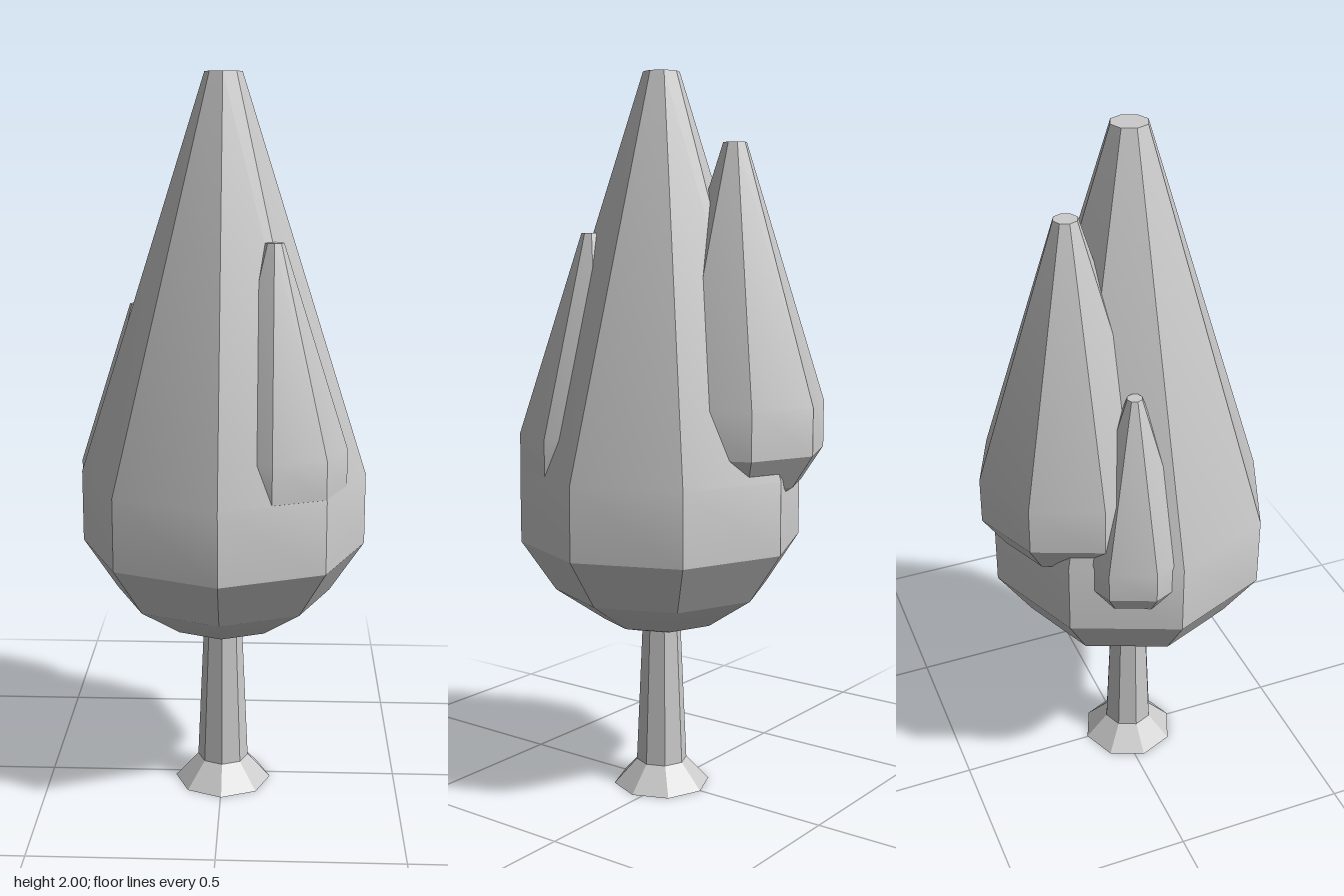
import * as THREE from 'three';
import { toCreasedNormals } from 'three/addons/utils/BufferGeometryUtils.js';

const SIDES = 8;

// Eight-sided turned solid from [radius, height] pairs, listed bottom to top
function turned(profile) {
  const points = profile.map(([r, y]) => new THREE.Vector2(r, y));
  return toCreasedNormals(new THREE.LatheGeometry(points, SIDES), 0.35);
}

export function createModel() {
  const tree = new THREE.Group();
  tree.name = 'tree';
  const material = new THREE.MeshStandardMaterial({ color: 0xcccccc });

  // Trunk with flared foot
  const trunk = new THREE.Mesh(
    turned([[0, 0], [0.137, 0], [0.072, 0.07], [0.053, 0.5], [0, 0.5]]), material);
  trunk.name = 'trunk';
  trunk.position.set(0.002, 0, 0.027);
  tree.add(trunk);

  // Foliage shape, measured down from its flat tip
  const foliage = turned([
    [0, -1.535], [0.08, -1.535], [0.165, -1.51], [0.3, -1.42],
    [0.395, -1.28], [0.395, -1.08], [0.05, 0], [0, 0],
  ]);

  // Main crown and the smaller clumps growing out of it: tip position, scale
  const clumps = [
    ['mainCrown', 0.003, 2, 0.025, 1],
    ['backClump', -0.068, 1.81, -0.168, 0.645],
    ['frontLeftClump', 0.14, 1.57, 0.163, 0.505],
    ['backRightClump', -0.238, 1.38, -0.055, 0.414],
  ];
  for (const [name, x, y, z, scale] of clumps) {
    const clump = new THREE.Mesh(foliage, material);
    clump.name = name;
    clump.position.set(x, y, z);
    clump.scale.setScalar(scale);
    tree.add(clump);
  }
  return tree;
}
